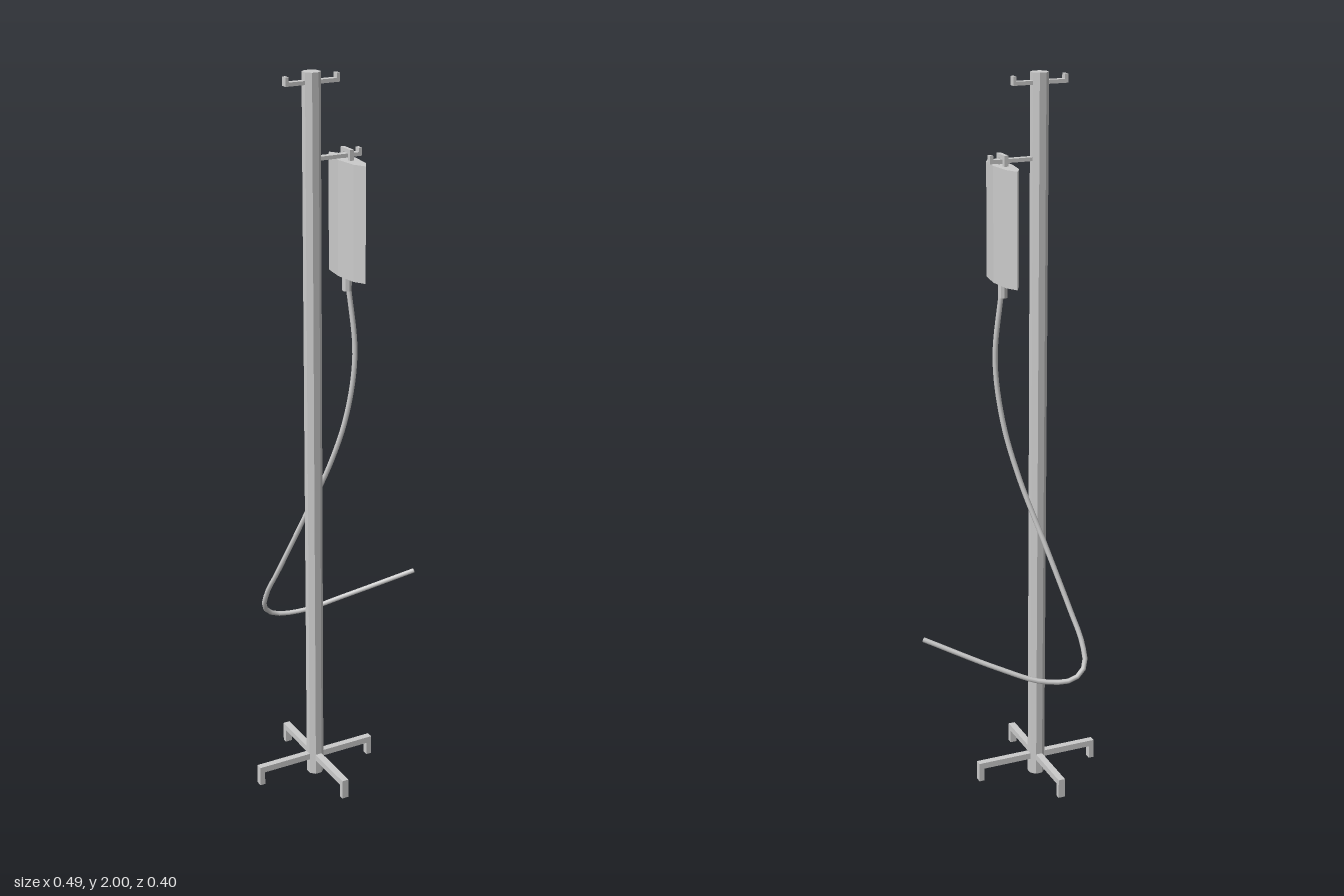
import * as THREE from 'three';

const material = new THREE.MeshStandardMaterial({ color: 0xcccccc, flatShading: true });
const smooth = new THREE.MeshStandardMaterial({ color: 0xcccccc, side: THREE.DoubleSide });

function add(parent, name, geometry, x, y, z, mat = material) {
  const mesh = new THREE.Mesh(geometry, mat);
  mesh.name = name;
  mesh.position.set(x, y, z);
  parent.add(mesh);
  return mesh;
}

const box = (parent, name, w, h, d, x, y, z) =>
  add(parent, name, new THREE.BoxGeometry(w, h, d), x, y, z);

export function createModel() {
  const model = new THREE.Group();
  model.name = 'dripStand';

  // Stand, turned about its pole
  const stand = new THREE.Group();
  stand.name = 'stand';
  stand.position.set(-0.073, 0, 0.035);
  stand.rotation.y = 0.38;
  model.add(stand);

  // Pole
  const pole = add(stand, 'pole', new THREE.CylinderGeometry(0.024, 0.024, 2, 8), 0, 1, 0);
  pole.rotation.y = Math.PI / 8;

  // Four legs with downturned feet
  for (let i = 0; i < 4; i++) {
    const leg = new THREE.Group();
    leg.name = 'leg' + (i + 1);
    leg.rotation.y = i * Math.PI / 2;
    box(leg, 'legBar', 0.17, 0.018, 0.019, 0.095, 0.054, 0);
    box(leg, 'foot', 0.015, 0.04, 0.019, 0.1725, 0.027, 0);
    stand.add(leg);
  }

  // Top hanger with upturned ends
  box(stand, 'topHanger', 0.152, 0.01, 0.018, 0, 1.974, 0);
  for (const s of [-1, 1]) box(stand, 'topHook', 0.009, 0.014, 0.018, s * 0.0715, 1.985, 0);

  // Bag arm with an upturned end
  box(stand, 'bagArm', 0.14, 0.01, 0.018, 0.07, 1.781, 0);
  box(stand, 'armHook', 0.009, 0.012, 0.018, 0.1355, 1.791, 0);

  // Bag: lens-shaped section extruded upward
  const bag = new THREE.Group();
  bag.name = 'bag';
  bag.position.x = 0.102;
  stand.add(bag);
  const outline = [[0, -0.098], [0.018, -0.066], [0.026, 0], [0.018, 0.066],
    [0, 0.098], [-0.018, 0.066], [-0.026, 0], [-0.018, -0.066]];
  const section = new THREE.Shape(outline.map(([x, z]) => new THREE.Vector2(x, -z)));
  const body = new THREE.ExtrudeGeometry(section, { depth: 0.305, bevelEnabled: false });
  body.rotateX(-Math.PI / 2);
  add(bag, 'bagBody', body, 0, 1.465, 0);

  // Hanging loop over the arm
  box(bag, 'loopTop', 0.011, 0.01, 0.05, 0, 1.793, 0);
  for (const s of [-1, 1]) box(bag, 'loopSide', 0.011, 0.026, 0.012, 0, 1.779, s * 0.019);

  // Outlet port
  add(bag, 'outletPort', new THREE.CylinderGeometry(0.013, 0.013, 0.045, 8), 0, 1.445, 0);

  // Trailing drip tube
  const path = new THREE.CatmullRomCurve3([
    [0.025, 1.44, -0.002], [0.042, 1.25, 0.007], [0.022, 1.08, 0], [-0.02, 0.93, -0.02],
    [-0.09, 0.75, -0.06], [-0.16, 0.57, -0.107], [-0.19, 0.49, -0.136],
    [-0.196, 0.43, -0.16], [-0.165, 0.4, -0.179], [-0.08, 0.4, -0.19],
    [0.04, 0.44, -0.188], [0.24, 0.519, -0.17],
  ].map((p) => new THREE.Vector3(...p)));
  add(model, 'tube', new THREE.TubeGeometry(path, 56, 0.007, 8), 0, 0, 0, smooth);
  const end = path.getPoint(1);
  const cap = add(model, 'tubeEnd', new THREE.CircleGeometry(0.007, 8), end.x, end.y, end.z, smooth);
  cap.lookAt(end.clone().add(path.getTangent(1)));

  return model;
}
